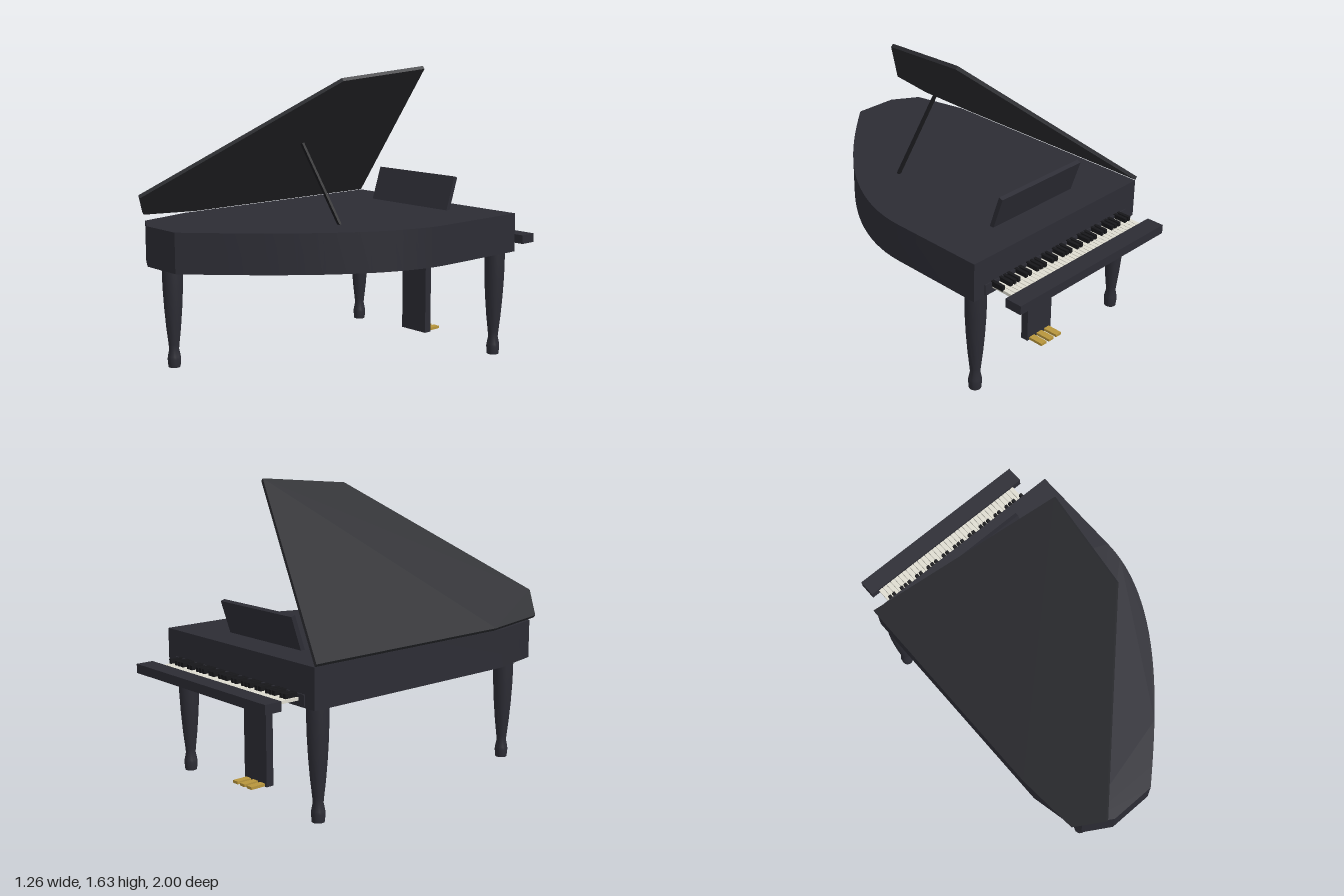
import * as THREE from 'three';
import { toCreasedNormals } from 'three/addons/utils/BufferGeometryUtils.js';

const mat = (name, color) => {
  const m = new THREE.MeshStandardMaterial({ color });
  m.name = name;
  return m;
};

export function createModel() {
  const lacquer = mat('black lacquer', 0x2c2c34);
  const lidBlack = mat('lid black', 0x2a2b2f);
  const ebony = mat('ebony', 0x17171a);
  const ivory = mat('ivory', 0xdedcd0);
  const brass = mat('brass', 0xb8963c);

  const model = new THREE.Group();
  model.name = 'grandPiano';
  const CX = 0.005; // centre line of the case

  const add = (name, geometry, material, parent = model) => {
    const mesh = new THREE.Mesh(geometry, material);
    mesh.name = name;
    parent.add(mesh);
    return mesh;
  };

  // Box given by its extents on each axis
  const box = (name, [x0, x1], [y0, y1], [z0, z1], material, parent) => {
    const mesh = add(name, new THREE.BoxGeometry(x1 - x0, y1 - y0, z1 - z0), material, parent);
    mesh.position.set((x0 + x1) / 2, (y0 + y1) / 2, (z0 + z1) / 2);
    return mesh;
  };

  // Horizontal slab from a plan outline drawn in (x, -z)
  const slab = (shape, height) => {
    const g = new THREE.ExtrudeGeometry(shape, { depth: height, bevelEnabled: false, curveSegments: 24 });
    return toCreasedNormals(g.rotateX(-Math.PI / 2), 0.3);
  };

  // Case with the curved bent side
  const plan = new THREE.Shape();
  plan.moveTo(-0.62, 0.75);
  plan.lineTo(0.63, 0.75);
  plan.lineTo(0.63, 0.2);
  plan.bezierCurveTo(0.63, -0.25, 0.2, -0.68, -0.145, -1);
  plan.lineTo(-0.4, -1);
  plan.lineTo(-0.55, -0.91);
  plan.lineTo(-0.62, -0.6);
  plan.closePath();
  add('case', slab(plan, 0.216), lacquer).position.y = 0.592;

  // Raised lid, hinged along the straight side
  const lidPlan = new THREE.Shape([
    [0, 0.75], [1.245, 0.32], [1.17, -0.22], [0.215, -1], [0.035, -0.89], [0, -0.53],
  ].map(([x, y]) => new THREE.Vector2(x, y)));
  const lid = add('lid', slab(lidPlan, 0.02), lidBlack);
  lid.position.set(-0.622, 0.81, 0);
  lid.rotation.z = THREE.MathUtils.degToRad(40);

  // Lid prop
  const foot = new THREE.Vector2(0.245, 0.805);
  const tip = new THREE.Vector2(-0.055, 1.213);
  const rod = tip.clone().sub(foot);
  const prop = add('lidProp', new THREE.BoxGeometry(0.016, rod.length(), 0.016), ebony);
  prop.position.set((foot.x + tip.x) / 2, (foot.y + tip.y) / 2, 0.22);
  prop.rotation.z = Math.atan2(-rod.x, rod.y);

  // Music stand leaning towards the keyboard
  const stand = add('musicStand', new THREE.BoxGeometry(0.6, 0.2, 0.025), lacquer);
  stand.position.set(CX, 0.897, -0.582);
  stand.rotation.x = -0.32;

  // Turned legs
  const legProfile = [
    [0, 0], [0.033, 0], [0.037, 0.045], [0.035, 0.06], [0.027, 0.1], [0.03, 0.13],
    [0.04, 0.22], [0.049, 0.33], [0.055, 0.44], [0.057, 0.52], [0.057, 0.6],
  ].map(([r, y]) => new THREE.Vector2(r, y));
  const legGeometry = toCreasedNormals(new THREE.LatheGeometry(legProfile, 24), 0.6);
  [['tailLeg', -0.45, 0.81], ['rightLeg', -0.56, -0.68], ['leftLeg', 0.547, -0.68]].forEach(([name, x, z]) => {
    add(name, legGeometry, lacquer).position.set(x, 0, z);
  });

  // Keyboard
  const keyboard = new THREE.Group();
  keyboard.name = 'keyboard';
  model.add(keyboard);
  box('fallboard', [-0.547, 0.557], [0.6, 0.66], [-0.757, -0.745], lacquer, keyboard);
  box('keySlip', [-0.555, 0.565], [0.605, 0.655], [-1, -0.9], lacquer, keyboard);
  const pitch = 0.0282, start = -0.508;
  for (let i = 0; i < 36; i++) {
    const x = start + i * pitch;
    box('whiteKey', [x + 0.0015, x + pitch - 0.0015], [0.624, 0.64], [-0.905, -0.75], ivory, keyboard);
  }
  for (let i = 1; i <= 36; i++) {
    if (i % 7 === 0 || i % 7 === 3) continue;
    const x = start + i * pitch - 0.005;
    box('blackKey', [x - 0.009, x + 0.009], [0.635, 0.664], [-0.828, -0.75], ebony, keyboard);
  }

  // Pedal board and pedals
  const pedals = new THREE.Group();
  pedals.name = 'pedals';
  model.add(pedals);
  box('pedalBoard', [-0.09, 0.1], [0.045, 0.478], [-0.637, -0.592], lacquer, pedals);
  for (let i = -1; i <= 1; i++) {
    const x = CX + i * 0.06;
    box('pedal', [x - 0.02, x + 0.02], [0.047, 0.062], [-0.727, -0.63], brass, pedals);
  }

  return model;
}
